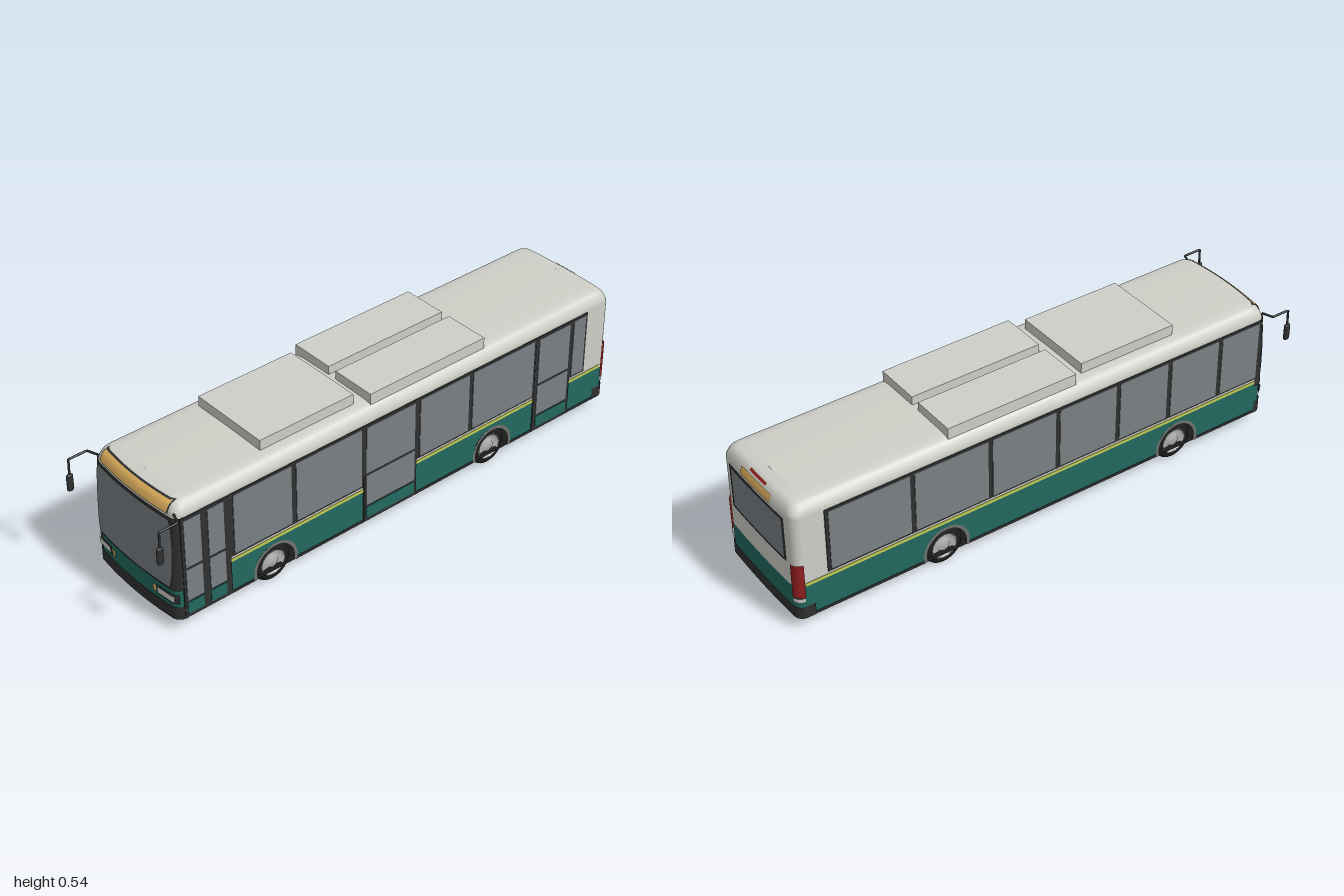
import * as THREE from 'three';

const mat = (name, color) => Object.assign(new THREE.MeshStandardMaterial({ color, side: THREE.DoubleSide }), { name });
const M = {
  white: mat('body white', 0xcfcfc8), teal: mat('teal', 0x22695f), dark: mat('dark trim', 0x303030),
  black: mat('rubber black', 0x1d1d1d), glass: mat('glass grey', 0x7a8084), amber: mat('amber', 0xdcae5c),
  red: mat('lamp red', 0x931f1f), lime: mat('lime stripe', 0xc3cc55), grey: mat('arch grey', 0x707270),
  silver: mat('wheel silver', 0xb0b2b2),
};

const W = 0.215, R = 0.03, FLOOR = 0.05, WAIST = 0.176;
const WHEEL_Z = [0.527, -0.437], WHEEL_Y = 0.073, ARCH = 0.087;
// roof edge: height and inset
const ROOF = [[0.45, 0], [0.465, 0.004], [0.48, 0.011], [0.49, 0.02], [0.496, 0.032], [0.5, 0.06]];

function inset(y) {
  if (y <= ROOF[0][0]) return 0;
  for (let i = 1; i < ROOF.length; i++) {
    const [y0, a] = ROOF[i - 1], [y1, b] = ROOF[i];
    if (y <= y1) return a + (b - a) * (y - y0) / (y1 - y0);
  }
  return 0.06;
}

// distance of the front (s = 1) or rear (s = -1) end surface from the middle
function endZ(s, x, y, off) {
  const w = W - inset(y) + off, ax = Math.min(Math.abs(x), w);
  const lean = s > 0 ? 0.012 * THREE.MathUtils.clamp((y - WAIST) / 0.274, 0, 1) : 0;
  const end = (s > 0 ? 0.93 : 1) - lean - inset(y) + off;
  const bulge = (s > 0 ? 0.016 : 0.006) * (ax / w) ** 2;
  const c = Math.max(0, ax - w + R);
  return end - bulge - R + Math.sqrt(Math.max(0, R * R - c * c));
}

// half outline round one end, from one side wall to the other
function endPath(s, y, zStart, off = 0) {
  const w = W - inset(y) + off, xs = [];
  for (let i = 0; i <= 6; i++) xs.push(w - R + R * Math.cos(i * Math.PI / 12));
  for (let i = 1; i < 12; i++) xs.push((w - R) * (1 - i / 6));
  for (let i = 6; i >= 0; i--) xs.push(-(w - R + R * Math.cos(i * Math.PI / 12)));
  const pts = xs.map(x => [s * x, y, s * endZ(s, x, y, off)]);
  return [[s * w, y, s * zStart], ...pts, [-s * w, y, s * zStart]];
}
const ring = y => [...endPath(1, y, 0), ...endPath(-1, y, 0)];

// surface through rows of points, bottom row first
function loft(rows, closed = false) {
  const n = rows[0].length, idx = [];
  for (let r = 0; r < rows.length - 1; r++)
    for (let i = 0; i < (closed ? n : n - 1); i++) {
      const a = r * n + i, b = r * n + (i + 1) % n;
      idx.push(a, a + n, b, b, a + n, b + n);
    }
  const g = new THREE.BufferGeometry();
  g.setAttribute('position', new THREE.Float32BufferAttribute(rows.flat(2), 3));
  g.setIndex(idx);
  g.computeVertexNormals();
  return g;
}

export function createModel() {
  const bus = new THREE.Group();
  bus.name = 'bus';
  const add = (name, geo, m, x = 0, y = 0, z = 0) => {
    const mesh = new THREE.Mesh(geo, m);
    mesh.name = name;
    mesh.position.set(x, y, z);
    bus.add(mesh);
    return mesh;
  };
  const box = (name, m, x0, x1, y0, y1, z0, z1) => add(name,
    new THREE.BoxGeometry(Math.abs(x1 - x0), y1 - y0, Math.abs(z1 - z0)), m, (x0 + x1) / 2, (y0 + y1) / 2, (z0 + z1) / 2);
  const side = (name, m, s, z0, z1, y0, y1, off) => box(name, m, s * (W - 0.002), s * (W + off), y0, y1, z0, z1);
  // plate following an end surface
  const face = (name, m, s, x0, x1, y0, y1, off, width = () => 1, ny = 6) => {
    const rows = [];
    for (let j = 0; j <= ny; j++) {
      const y = y0 + (y1 - y0) * j / ny, row = [];
      for (let i = 0; i <= 20; i++) {
        const x = (x1 + (x0 - x1) * i / 20) * width(j / ny);
        row.push([s * x, y, s * endZ(s, x, y, off)]);
      }
      rows.push(row);
    }
    add(name, loft(rows), m);
  };
  const endBand = (name, m, s, zStart, y0, y1, off) =>
    add(name, loft([endPath(s, y0, zStart, off), endPath(s, y1, zStart, off)]), m);

  // upper shell with roof, and floor
  const spine = y => ring(y).map(p => [0, y, p[2]]);
  const top = spine(0.5).map(p => [0, 0.502, p[2]]);
  add('upperBody', loft([WAIST, ...ROOF.map(p => p[0])].map(ring).concat([top]), true), M.white);
  add('floor', loft([spine(FLOOR), ring(FLOOR)], true), M.black);

  // lower shell: ends, then sides with wheel openings
  endBand('frontLowerPanel', M.teal, 1, 0.8, FLOOR, WAIST, 0);
  endBand('rearLowerPanel', M.teal, -1, 0.8, FLOOR, WAIST, 0);
  endBand('frontBumper', M.dark, 1, 0.88, FLOOR, 0.1, 0.003);
  endBand('rearBumper', M.dark, -1, 0.935, FLOOR, 0.097, 0.003);
  const dip = Math.asin((WHEEL_Y - FLOOR) / ARCH), half = ARCH * Math.cos(dip);
  for (const s of [1, -1]) {
    const skirt = new THREE.Shape();
    skirt.moveTo(-0.8, FLOOR);
    for (const c of WHEEL_Z.map(z => -s * z).sort((a, b) => a - b)) {
      skirt.lineTo(c - half, FLOOR);
      skirt.absarc(c, WHEEL_Y, ARCH, Math.PI + dip, -dip, true);
    }
    skirt.lineTo(0.8, FLOOR);
    skirt.lineTo(0.8, WAIST);
    skirt.lineTo(-0.8, WAIST);
    add('sideSkirt', new THREE.ShapeGeometry(skirt, 24), M.teal, s * W).rotation.y = s * Math.PI / 2;
    const [f, r] = WHEEL_Z;
    for (const [z0, z1] of [[0.88, f + half], [f - half, r + half], [r - half, -0.94]])
      side('sillTrim', M.dark, s, z0, z1, FLOOR, 0.06, 0.002);
    side('stripe', M.lime, s, 0.88, -0.965, 0.178, 0.19, 0.002);
    side('windowBand', M.dark, s, 0.885, -0.882, 0.2, 0.447, 0.003);
  }

  // side windows
  const windows = {
    1: [[0.69, 0.457], [0.437, 0.163], [-0.094, -0.316], [-0.334, -0.622], [-0.815, -0.873]],
    [-1]: [[0.875, 0.71], [0.692, 0.488], [0.47, 0.268], [0.25, 0.018], [0, -0.252], [-0.27, -0.552], [-0.57, -0.87]],
  };
  for (const s of [1, -1])
    for (const [z0, z1] of windows[s]) side('sideWindow', M.glass, s, z0, z1, 0.208, 0.439, 0.005);

  // doors on the left side: frame, then leaves
  const doors = [[0.892, 0.705, [[0.882, 0.818], [0.79, 0.728]]], [0.153, -0.08, [[0.143, -0.07]]], [-0.63, -0.808, [[-0.645, -0.795]]]];
  for (const [z0, z1, leaves] of doors) {
    side('doorFrame', M.dark, 1, z0, z1, 0.055, 0.447, 0.004);
    for (const [a, b] of leaves) {
      side('doorUpperGlass', M.glass, 1, a, b, 0.252, 0.437, 0.006);
      side('doorLowerGlass', M.glass, 1, a, b, 0.12, 0.243, 0.006);
      side('doorKickPanel', M.teal, 1, a, b, 0.066, 0.112, 0.006);
    }
  }

  // front: windscreen, sign, lamps
  endBand('windscreenFrame', M.dark, 1, 0.875, 0.167, 0.449, 0.003);
  face('windscreen', M.glass, 1, -0.2, 0.2, 0.177, 0.44, 0.006, t => 0.94 + 0.06 * Math.sin(Math.PI * t) ** 0.6, 12);
  face('frontSignFrame', M.dark, 1, -0.178, 0.178, 0.455, 0.495, 0.003);
  face('frontSign', M.amber, 1, -0.174, 0.174, 0.458, 0.4925, 0.005);
  for (const s of [1, -1]) {
    const lamp = (name, m, a, b, y0, y1, off) => face(name, m, 1, Math.min(s * a, s * b), Math.max(s * a, s * b), y0, y1, off);
    lamp('headlampHousing', M.dark, 0.121, 0.212, 0.114, 0.151, 0.003);
    lamp('headlampLens', M.white, 0.126, 0.203, 0.121, 0.146, 0.006);
    lamp('indicator', M.amber, 0.102, 0.119, 0.117, 0.146, 0.003);

    // mirror on its bent arm
    const arm = new THREE.CurvePath();
    const p = [[0.2, 0.462, 0.9], [0.24, 0.462, 0.915], [0.24, 0.462, 0.985], [0.24, 0.39, 0.987]]
      .map(([x, y, z]) => new THREE.Vector3(s * x, y, z));
    for (let i = 0; i < 3; i++) arm.add(new THREE.LineCurve3(p[i], p[i + 1]));
    add('mirrorArm', new THREE.TubeGeometry(arm, 36, 0.004, 8), M.dark);
    const head = add('mirror', new THREE.CapsuleGeometry(0.0075, 0.052, 4, 12), M.dark, s * 0.24, 0.372, 0.987);
    head.scale.z = 1.7;
  }

  // rear: window, sign, lamps
  face('rearWindowFrame', M.dark, -1, -0.168, 0.168, 0.265, 0.44, 0.002);
  face('rearWindow', M.glass, -1, -0.157, 0.157, 0.275, 0.43, 0.004);
  face('rearSign', M.amber, -1, -0.09, 0.09, 0.45, 0.477, 0.003);
  face('highBrakeLamp', M.red, -1, -0.048, 0.048, 0.484, 0.491, 0.003);
  for (const cut of [[1, 8], [-8, -1]]) {
    const corner = y => endPath(-1, y, 0.9, 0.004).slice(...cut);
    add('tailLamp', loft([corner(0.136), corner(0.27)]), M.red);
    add('reverseLamp', loft([corner(0.117), corner(0.134)]), M.white);
  }

  // roof units
  box('frontRoofUnit', M.white, -0.16, 0.157, 0.485, 0.538, 0.145, 0.53);
  box('rearRoofUnit', M.white, 0.015, 0.19, 0.48, 0.534, -0.405, 0.1);
  box('rearRoofUnit', M.white, -0.192, -0.02, 0.48, 0.534, -0.405, 0.1);

  // wheels, double on the rear axle, with arches
  const profile = pts => new THREE.LatheGeometry(pts.map(p => new THREE.Vector2(...p)), 32);
  const tyre = profile([[0.046, -0.0215], [0.062, -0.0215], [0.071, -0.014], [0.073, -0.008],
    [0.073, 0.008], [0.071, 0.014], [0.062, 0.0215], [0.046, 0.0215]]);
  const rim = profile([[0.05, 0.021], [0.047, 0.0225], [0.043, 0.012], [0.024, 0.01], [0.02, 0.019], [0, 0.019]]);
  for (const z of WHEEL_Z)
    for (const s of [1, -1]) {
      for (const x of z > 0 ? [0.182] : [0.182, 0.136]) {
        add('tyre', tyre, M.black, s * x, WHEEL_Y, z).rotation.z = -s * Math.PI / 2;
        add('wheelRim', rim, M.silver, s * x, WHEEL_Y, z).rotation.z = -s * Math.PI / 2;
      }
      add('wheelWell', new THREE.CylinderGeometry(ARCH, ARCH, 0.11, 24, 1, true, -dip, Math.PI + 2 * dip),
        M.dark, s * (W - 0.055), WHEEL_Y, z).rotation.z = Math.PI / 2;
      box('wheelWellBack', M.dark, s * 0.104, s * 0.106, FLOOR, 0.162, z - ARCH, z + ARCH);
      add('wheelArch', new THREE.RingGeometry(0.077, 0.09, 32, 1, -dip, Math.PI + 2 * dip),
        M.grey, s * (W + 0.0025), WHEEL_Y, z).rotation.y = s * Math.PI / 2;
    }
  return bus;
}
